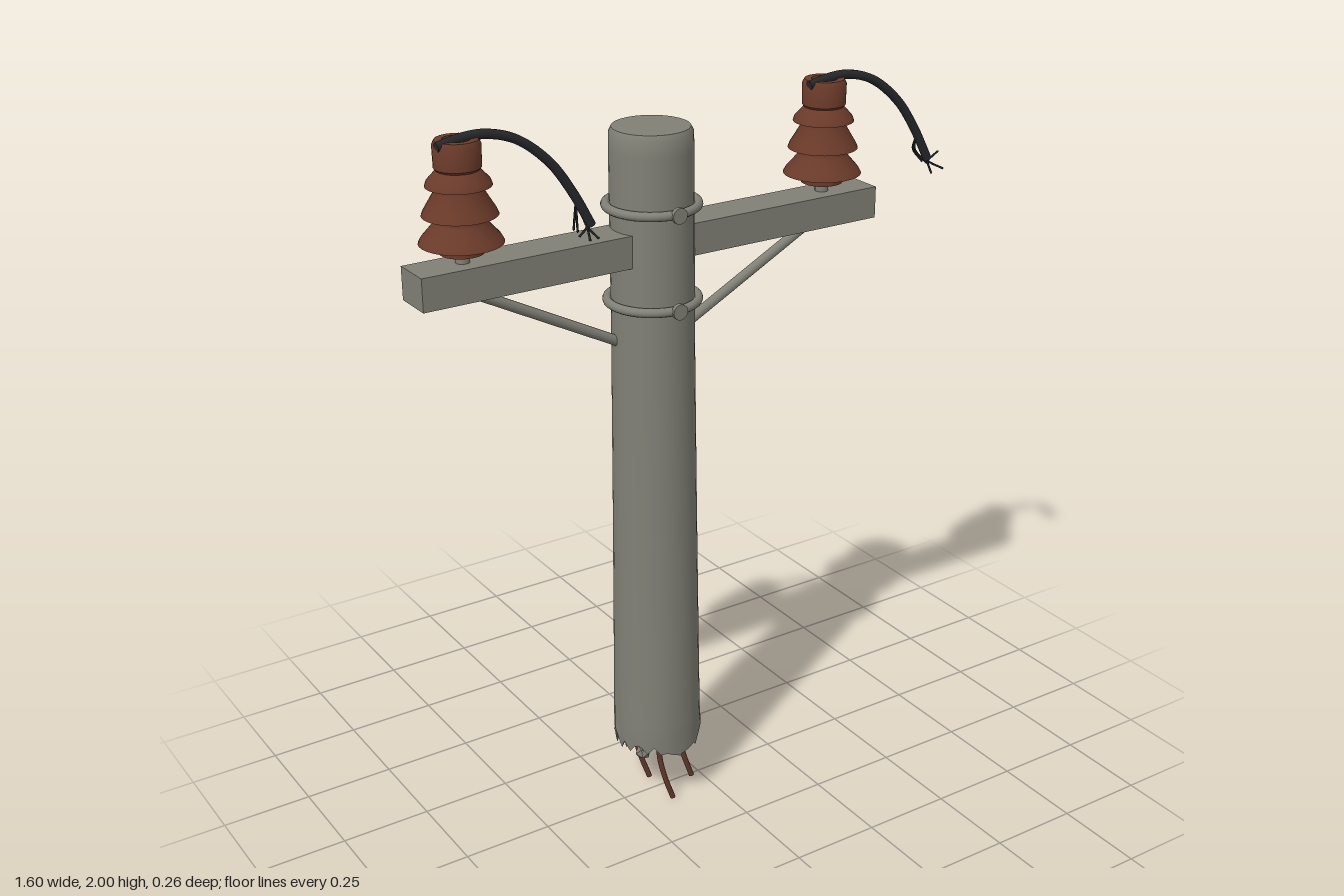
import * as THREE from 'three';
import { toCreasedNormals } from 'three/addons/utils/BufferGeometryUtils.js';

const CX = -0.135, CZ = -0.005; // pole axis

function seeded(seed) {
  return () => {
    seed = (seed * 16807) % 2147483647;
    return seed / 2147483647;
  };
}

const v = (x, y, z) => new THREE.Vector3(x, y, z);

export function createModel() {
  const concrete = new THREE.MeshStandardMaterial({ name: 'concrete', color: 0x808076 });
  const ceramic = new THREE.MeshStandardMaterial({ name: 'brown ceramic', color: 0x6b3b2a });
  const rubber = new THREE.MeshStandardMaterial({ name: 'black cable', color: 0x25282a });
  const rust = new THREE.MeshStandardMaterial({ name: 'rusty steel', color: 0x63382a });

  const model = new THREE.Group();
  model.name = 'brokenUtilityPole';

  function add(parent, name, geometry, material, x = 0, y = 0, z = 0) {
    const mesh = new THREE.Mesh(geometry, material);
    mesh.name = name;
    mesh.position.set(x, y, z);
    parent.add(mesh);
    return mesh;
  }

  function tube(parent, name, points, radius, material, sides = 8) {
    const curve = new THREE.CatmullRomCurve3(points);
    const group = new THREE.Group();
    group.name = name;
    parent.add(group);
    add(group, name + 'Body', new THREE.TubeGeometry(curve, points.length * 5, radius, sides), material);
    // closed ends
    for (const t of [0, 1]) {
      const p = curve.getPointAt(t);
      const cap = add(group, name + 'End', new THREE.CircleGeometry(radius, sides), material, p.x, p.y, p.z);
      const out = curve.getTangentAt(t).multiplyScalar(t ? 1 : -1);
      cap.quaternion.setFromUnitVectors(v(0, 0, 1), out);
    }
  }

  // Tapered pole with a ragged, hollowed break at the bottom
  const rand = seeded(77);
  const segments = 40;
  const profile = [
    [0, 0.25], [0.06, 0.24], [0.1, 0.225], [0.121, 0.195], [0.123, 0.225], [0.121, 0.27],
    [0.119, 0.4], [0.113, 0.9], [0.108, 1.4], [0.107, 1.88], [0.106, 1.925], [0.099, 1.938], [0, 1.94],
  ].map(([r, y]) => new THREE.Vector2(r, y));
  const poleGeometry = new THREE.LatheGeometry(profile, segments);
  const drop = Array.from({ length: segments }, () => rand());
  const pos = poleGeometry.attributes.position;
  for (let i = 0; i < pos.count; i++) {
    const row = i % profile.length;
    const d = drop[Math.floor(i / profile.length) % segments];
    if (row === 3) pos.setY(i, 0.165 + d * 0.055);
    if (row >= 2 && row <= 4) {
      const s = 0.96 + d * 0.07;
      pos.setX(i, pos.getX(i) * s);
      pos.setZ(i, pos.getZ(i) * s);
    }
  }
  add(model, 'pole', toCreasedNormals(poleGeometry, 0.7), concrete, CX, 0, CZ);

  // Rubble clinging inside the break
  const rubble = new THREE.Group();
  rubble.name = 'rubble';
  model.add(rubble);
  for (let i = 0; i < 26; i++) {
    const a = i * 2.4, r = 0.108 * Math.sqrt((i + 0.5) / 26);
    const chunk = add(rubble, 'chunk', new THREE.IcosahedronGeometry(0.014 + rand() * 0.012, 0), concrete,
      CX + Math.cos(a) * r, 0.175 + rand() * 0.045, CZ + Math.sin(a) * r);
    chunk.rotation.set(rand() * 3, rand() * 3, rand() * 3);
  }

  // Bent reinforcing rods
  for (const [x, z, slip] of [[-0.17, 0.062, 0.012], [-0.065, 0, 0.01], [-0.17, -0.072, 0.02]]) {
    tube(model, 'reinforcingRod', [
      v(x, 0.26, z), v(x, 0.15, z), v(x + 0.012, 0.08, z + slip * 0.6), v(x + 0.036, 0.004, z + slip),
    ], 0.008, rust);
  }

  // Crossarm
  add(model, 'crossarm', new THREE.BoxGeometry(1.335, 0.085, 0.11), concrete, -0.1325, 1.6425, CZ);

  // Clamp rings with their front bolts
  for (const y of [1.74, 1.49]) {
    const ring = add(model, 'clampRing', new THREE.TorusGeometry(0.117, 0.012, 10, 40), concrete, CX, y, CZ);
    ring.rotation.x = Math.PI / 2;
    const bolt = add(model, 'clampBolt', new THREE.CylinderGeometry(0.021, 0.021, 0.012, 12), concrete, CX, y, 0.122);
    bolt.rotation.x = Math.PI / 2;
  }

  // Diagonal braces
  for (const [x0, x1] of [[-0.66, -0.2], [0.39, -0.07]]) {
    tube(model, 'brace', [v(x0, 1.61, -0.018), v(x1, 1.37, -0.018)], 0.014, concrete, 10);
  }

  // Skirted insulator
  const skirts = toCreasedNormals(new THREE.LatheGeometry([
    [0, 1.71], [0.055, 1.71], [0.056, 1.735], [0.103, 1.735], [0.096, 1.748], [0.062, 1.787],
    [0.06, 1.803], [0.092, 1.803], [0.087, 1.815], [0.06, 1.86], [0.058, 1.874], [0.08, 1.874],
    [0.076, 1.886], [0.052, 1.912], [0.057, 1.918], [0.058, 1.972], [0.052, 1.984], [0.034, 1.984],
    [0.032, 1.972], [0, 1.972],
  ].map(([r, y]) => new THREE.Vector2(r, y)), 32), 0.6);

  // Insulators, each with a drooping cable ending in frayed strands
  const frays = [
    [[-0.335, 1.72, 0.015], [0.03, -0.035, 0.005], [0.004, -0.04, 0.01], [-0.02, -0.025, -0.004]],
    [[0.735, 1.72, 0.015], [0.06, -0.035, 0], [0.015, -0.04, 0.006], [0.05, 0.012, -0.012]],
  ];
  [-0.665, 0.395].forEach((x, side) => {
    const group = new THREE.Group();
    group.name = side ? 'leftInsulator' : 'rightInsulator';
    model.add(group);
    add(group, 'insulatorBody', skirts, ceramic, x, 0, CZ);
    add(group, 'insulatorPin', new THREE.CylinderGeometry(0.018, 0.018, 0.05, 14), concrete, x, 1.7, CZ);
    tube(group, 'cable', [
      v(x - 0.058, 1.975, 0.008), v(x, 1.986, 0.005), v(x + 0.07, 1.987, 0.003), v(x + 0.15, 1.963, 0.006),
      v(x + 0.235, 1.895, 0.01), v(x + 0.295, 1.81, 0.013), v(x + 0.342, 1.722, 0.016),
    ], 0.012, rubber, 10);
    const [base, ...ends] = frays[side];
    const b = v(...base);
    for (const e of ends) {
      tube(group, 'strand', [b.clone().add(v(-0.012, 0.03, 0)), b, b.clone().add(v(...e))], 0.003, rubber, 5);
    }
    // Loose strands splayed towards the back
    for (const dz of [-0.055, -0.035]) {
      const s = v(x + 0.305, 1.79, 0.01);
      tube(group, 'looseStrand', [s, s.clone().add(v(0.008, -0.04, dz * 0.4)),
        s.clone().add(v(side ? 0.07 : 0.022, -0.095, dz))], 0.003, rubber, 5);
    }
  });

  return model;
}
